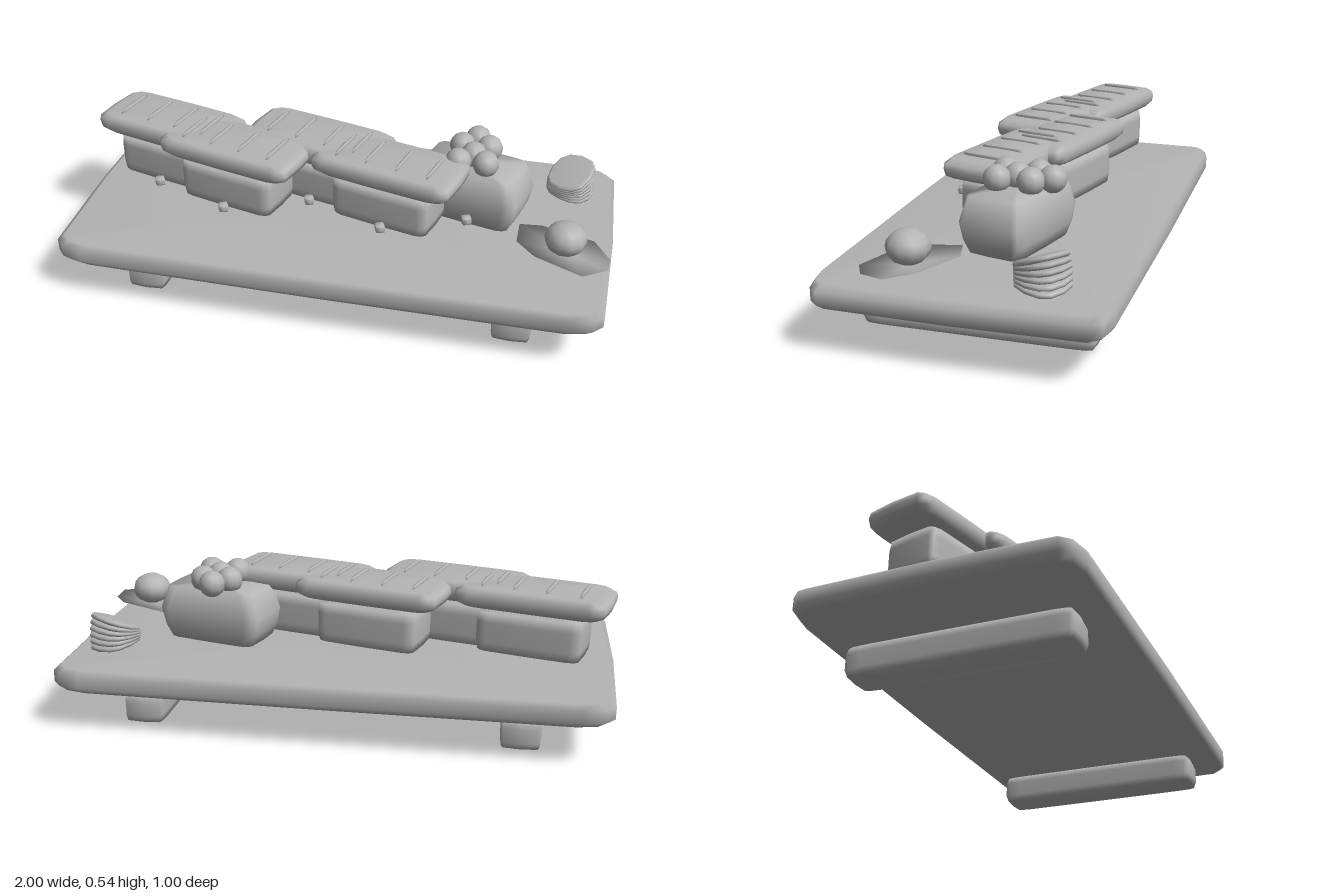
import * as THREE from 'three';

const warmGrey = new THREE.MeshStandardMaterial({ color: 0xb4b4b4 });
const greyLeaf = warmGrey;
greyLeaf.side = THREE.DoubleSide;

// Rounded block: superellipse rings stacked in y, closed by a raised centre point at each end
function block(w, h, d, corner, rings, segs = 16) {
  const pos = [0, -h / 2, 0], idx = [];
  for (const [r, y] of rings) {
    for (let i = 0; i < segs; i++) {
      const a = (i / segs) * Math.PI * 2;
      const f = v => (Math.abs(v) < 1e-6 ? 0 : Math.sign(v) * Math.abs(v) ** corner);
      pos.push(f(Math.cos(a)) * r * w / 2, y * h / 2, f(Math.sin(a)) * r * d / 2);
    }
  }
  pos.push(0, h / 2, 0);
  const top = rings.length * segs + 1;
  for (let i = 0; i < segs; i++) {
    const n = (i + 1) % segs;
    idx.push(0, 1 + i, 1 + n);
    for (let k = 0; k < rings.length - 1; k++) {
      const a = 1 + k * segs + i, b = 1 + k * segs + n;
      idx.push(a, a + segs, b, b, a + segs, b + segs);
    }
    idx.push(top - segs + i, top, top - segs + n);
  }
  const g = new THREE.BufferGeometry();
  g.setAttribute('position', new THREE.Float32BufferAttribute(pos, 3));
  g.setIndex(idx);
  g.computeVertexNormals();
  return g;
}

const SLAB = [[0.975, -0.76], [1, -0.4], [1, 0.4], [0.975, 0.76]];
const SOFT = [[0.88, -0.85], [0.98, -0.5], [1, 0], [0.98, 0.5], [0.88, 0.85]];
const BARREL = [[0.84, -0.92], [0.94, -0.5], [1, 0.1], [0.85, 0.92]];

export function createModel() {
  const model = new THREE.Group();
  const add = (parent, name, geo, x, y, z) => {
    const m = new THREE.Mesh(geo, warmGrey);
    m.name = name;
    m.position.set(x, y, z);
    parent.add(m);
    return m;
  };

  // Serving board on two cross feet
  add(model, 'board', block(2, 0.112, 1, 0.13, SLAB), 0, 0.194, 0);
  for (const x of [-0.68, 0.68]) {
    add(model, 'foot', block(0.145, 0.135, 0.816, 0.18, SLAB), x, 0.0675, 0);
  }

  // Row of five staggered pieces
  const rice = block(0.39, 0.19, 0.21, 0.25, SLAB);
  const topping = block(0.56, 0.085, 0.26, 0.25, SOFT);
  const stripe = block(0.014, 0.022, 0.17, 0.6, SOFT, 8);
  const grain = block(0.036, 0.03, 0.036, 0.4, SOFT, 8);
  for (let i = 0; i < 5; i++) {
    const piece = new THREE.Group();
    piece.name = 'piece';
    const z = i % 2 ? 0.06 : -0.06;
    piece.position.set(-0.705 + i * 0.293, 0, z);
    piece.rotation.y = -0.25;
    model.add(piece);
    add(model, 'looseGrain', grain, -0.70 + i * 0.293, 0.323, z + 0.19).rotation.y = 0.4;
    if (i === 4) {
      add(piece, 'wrappedRoll', block(0.42, 0.215, 0.25, 0.28, BARREL), 0, 0.3525, 0);
      continue;
    }
    add(piece, 'riceBlock', rice, 0, 0.34, 0);
    add(piece, 'topping', topping, 0, 0.468, 0);
    for (let k = 0; k < 4; k++) {
      add(piece, 'toppingStripe', stripe, -0.18 + k * 0.12, 0.507, 0);
    }
  }

  // Roe beads on the wrapped roll
  const bead = new THREE.SphereGeometry(0.049, 10, 7);
  for (const [x, z] of [[0.465, -0.18], [0.415, -0.118], [0.515, -0.118],
    [0.465, -0.058], [0.415, 0], [0.515, 0]]) {
    add(model, 'roeBead', bead, x, 0.488, z);
  }

  // Leaf: shallow eight-sided dish with a round paste ball
  const rim = [[0.66, 0.07], [0.74, 0.05], [0.93, 0.12], [0.99, 0.21],
    [0.985, 0.285], [0.9, 0.33], [0.73, 0.26], [0.66, 0.17]];
  const leafPos = [0, 0.005, 0, 0, -0.015, 0], leafIdx = [];
  rim.forEach(([x, z], i) => {
    leafPos.push(x - 0.83, i % 2 ? 0.012 : 0.02, z - 0.19);
    const a = 2 + i, b = 2 + (i + 1) % rim.length;
    leafIdx.push(0, b, a, 1, a, b);
  });
  const leafGeo = new THREE.BufferGeometry();
  leafGeo.setAttribute('position', new THREE.Float32BufferAttribute(leafPos, 3));
  leafGeo.setIndex(leafIdx);
  leafGeo.computeVertexNormals();
  add(model, 'leaf', leafGeo, 0.83, 0.275, 0.19).material = greyLeaf;
  add(model, 'pasteBall', new THREE.SphereGeometry(0.075, 10, 8), 0.83, 0.34, 0.19).scale.y = 0.8;

  // Fan of thin pickled slices, hinged at the front
  const fan = new THREE.Group();
  fan.name = 'sliceFan';
  fan.position.set(0.79, 0.275, -0.185);
  fan.rotation.y = -0.45;
  model.add(fan);
  const slice = block(0.17, 0.024, 0.18, 0.8, SOFT, 12);
  slice.translate(0, 0, -0.075);
  for (let i = 0; i < 6; i++) {
    const s = add(fan, 'slice', slice, 0, i * 0.008, 0);
    s.rotation.x = -0.1 + i * 0.1;
    s.rotation.z = (i - 2.5) * 0.04;
  }
  return model;
}
